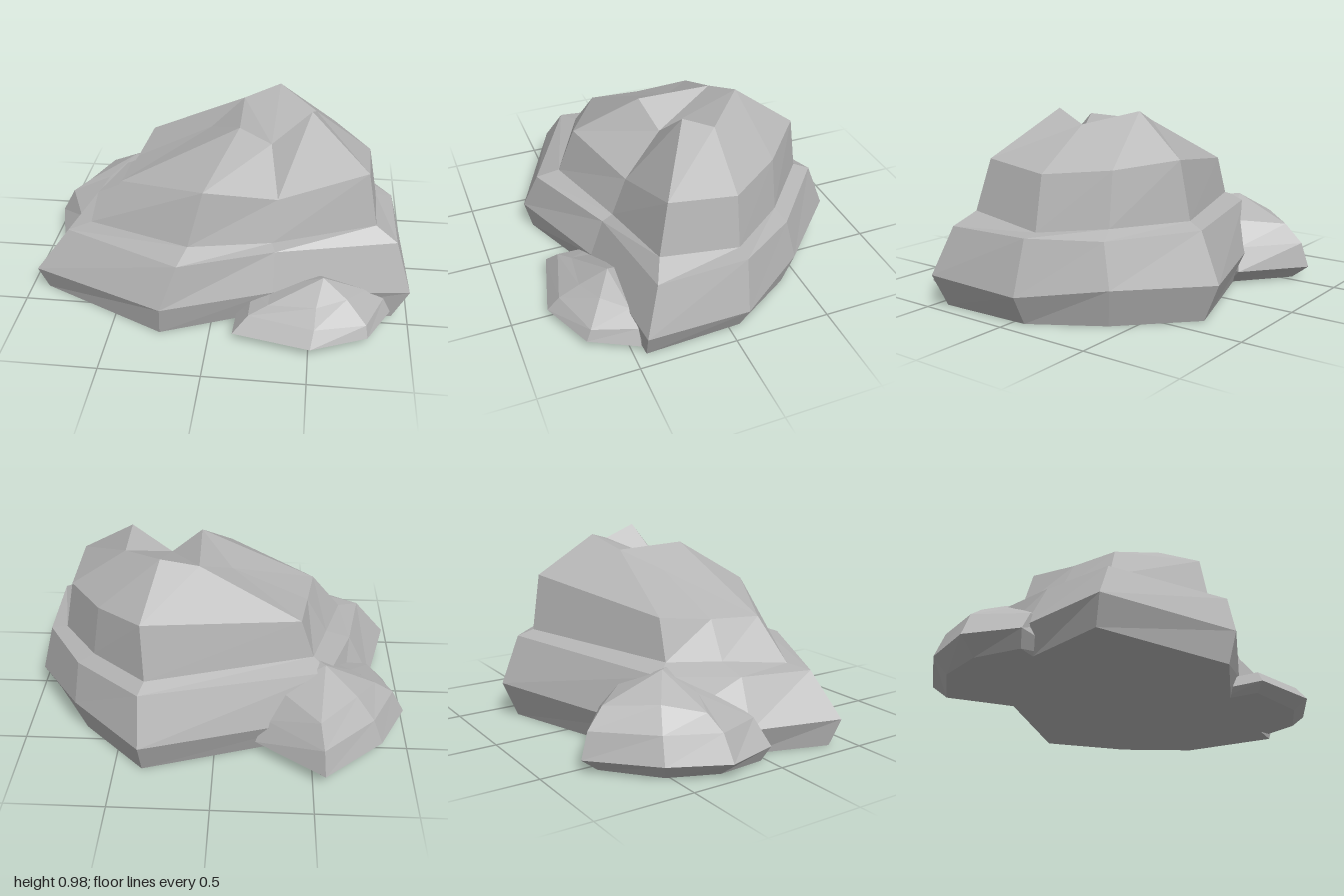
import * as THREE from 'three';

// Faceted rock from cross-section loops [x, y, z], counter-clockwise seen from above.
// cap(faces, topLoop) closes the top.
function makeRock(name, rings, capTriangles, material) {
  const pos = [];
  const tri = (a, b, c) => pos.push(...a, ...b, ...c);
  const n = rings[0].length;
  for (let r = 0; r < rings.length - 1; r++) {
    for (let i = 0; i < n; i++) {
      const j = (i + 1) % n;
      const a = rings[r][i], b = rings[r][j], c = rings[r + 1][j], d = rings[r + 1][i];
      tri(a, b, c);
      tri(a, c, d);
    }
  }
  // flat underside
  const base = rings[0];
  const mid = [0, 1, 2].map(k => base.reduce((s, p) => s + p[k], 0) / n);
  base.forEach((p, i) => tri(mid, base[(i + 1) % n], p));
  capTriangles.forEach(t => tri(...t));
  const geometry = new THREE.BufferGeometry();
  geometry.setAttribute('position', new THREE.Float32BufferAttribute(pos, 3));
  geometry.computeVertexNormals();
  const mesh = new THREE.Mesh(geometry, material);
  mesh.name = name;
  return mesh;
}

// Closes a loop with a fan to one summit point
const fan = (loop, top) => loop.map((p, i) => [p, loop[(i + 1) % loop.length], top]);

export function createModel() {
  const group = new THREE.Group();
  group.name = 'rockCluster';
  const stone = new THREE.MeshStandardMaterial({ color: 0xb4b4b4, flatShading: true });
  stone.name = 'grey stone';

  // Summit of the main boulder: two peaks with a notch between them
  const slope = [-0.07, 0.8, -0.05], frontPeak = [0.1, 0.91, 0.17], notch = [0.26, 0.8, 0.12];
  const peak = [0.46, 0.975, 0.08], saddle = [0.48, 0.905, -0.08];
  const backPeak = [0.28, 0.965, -0.28], ridge = [0.09, 0.9, -0.22];

  // Main boulder: foot, belly, ledge, step, shoulder, summit
  group.add(makeRock('mainBoulder', [
    [[-0.91, 0, 0.38], [-0.25, 0, 0.7], [0.3, 0, 0.47], [0.92, 0, 0.44], [0.9, 0, -0.06],
      [0.69, 0, -0.4], [0.36, 0, -0.72], [-0.62, 0, -0.4], [-0.78, 0, -0.03]],
    [[-0.95, 0.14, 0.42], [-0.24, 0.165, 0.74], [0.31, 0.16, 0.52], [1, 0.17, 0.46], [0.98, 0.15, -0.07],
      [0.735, 0.19, -0.44], [0.365, 0.19, -0.8], [-0.65, 0.16, -0.45], [-0.83, 0.14, -0.05]],
    [[-0.78, 0.36, 0.36], [-0.16, 0.385, 0.67], [0.31, 0.36, 0.45], [0.92, 0.415, 0.38], [0.91, 0.42, -0.08],
      [0.71, 0.41, -0.39], [0.365, 0.44, -0.7], [-0.58, 0.4, -0.4], [-0.71, 0.37, -0.02]],
    [[-0.67, 0.38, 0.3], [-0.12, 0.43, 0.555], [0.29, 0.375, 0.39], [0.81, 0.48, 0.33], [0.825, 0.43, -0.075],
      [0.63, 0.45, -0.36], [0.34, 0.47, -0.62], [-0.5, 0.44, -0.32], [-0.58, 0.42, -0.04]],
    [[-0.51, 0.6, 0.235], [-0.05, 0.7, 0.48], [0.31, 0.59, 0.32], [0.76, 0.74, 0.27], [0.775, 0.7, -0.075],
      [0.59, 0.72, -0.35], [0.355, 0.76, -0.57], [-0.43, 0.645, -0.31], [-0.47, 0.61, -0.03]],
    [slope, frontPeak, notch, peak, saddle, backPeak, backPeak, ridge, slope],
  ], [
    [slope, frontPeak, ridge], [frontPeak, notch, ridge], [notch, backPeak, ridge],
    [notch, saddle, backPeak], [notch, peak, saddle],
  ], stone));

  // Low rock at the front left
  const frontTop = [[0.29, 0.155, 0.62], [0.53, 0.18, 0.65], [0.68, 0.2, 0.59],
    [0.78, 0.18, 0.47], [0.5, 0.2, 0.35], [0.3, 0.15, 0.45]];
  group.add(makeRock('frontRock', [
    [[0.17, 0, 0.67], [0.51, 0, 0.74], [0.76, 0, 0.64], [0.83, 0, 0.47], [0.5, 0, 0.35], [0.17, 0, 0.45]],
    [[0.12, 0.04, 0.72], [0.51, 0.05, 0.815], [0.79, 0.05, 0.695], [0.91, 0.045, 0.46],
      [0.5, 0.05, 0.33], [0.13, 0.04, 0.45]],
    [[0.195, 0.12, 0.67], [0.525, 0.125, 0.755], [0.78, 0.11, 0.67], [0.87, 0.125, 0.46],
      [0.5, 0.12, 0.33], [0.2, 0.12, 0.45]],
    frontTop,
  ], fan(frontTop, [0.56, 0.265, 0.51]), stone));

  // Rock at the back right
  const backTop = [[-0.7, 0.33, -0.27], [-0.45, 0.42, -0.22], [-0.33, 0.33, -0.47],
    [-0.53, 0.3, -0.69], [-0.72, 0.32, -0.49], [-0.83, 0.28, -0.31]];
  group.add(makeRock('backRock', [
    [[-0.88, 0, -0.03], [-0.5, 0, -0.05], [-0.26, 0, -0.5], [-0.55, 0, -0.73], [-0.8, 0, -0.52], [-0.9, 0, -0.28]],
    [[-0.92, 0.08, 0], [-0.5, 0.08, 0], [-0.21, 0.08, -0.58], [-0.56, 0.07, -0.82],
      [-0.86, 0.08, -0.56], [-1, 0.08, -0.28]],
    [[-0.82, 0.2, -0.03], [-0.45, 0.3, -0.1], [-0.26, 0.2, -0.55], [-0.55, 0.2, -0.78],
      [-0.81, 0.21, -0.54], [-0.93, 0.21, -0.29]],
    backTop,
  ], fan(backTop, [-0.56, 0.43, -0.38]), stone));

  return group;
}
